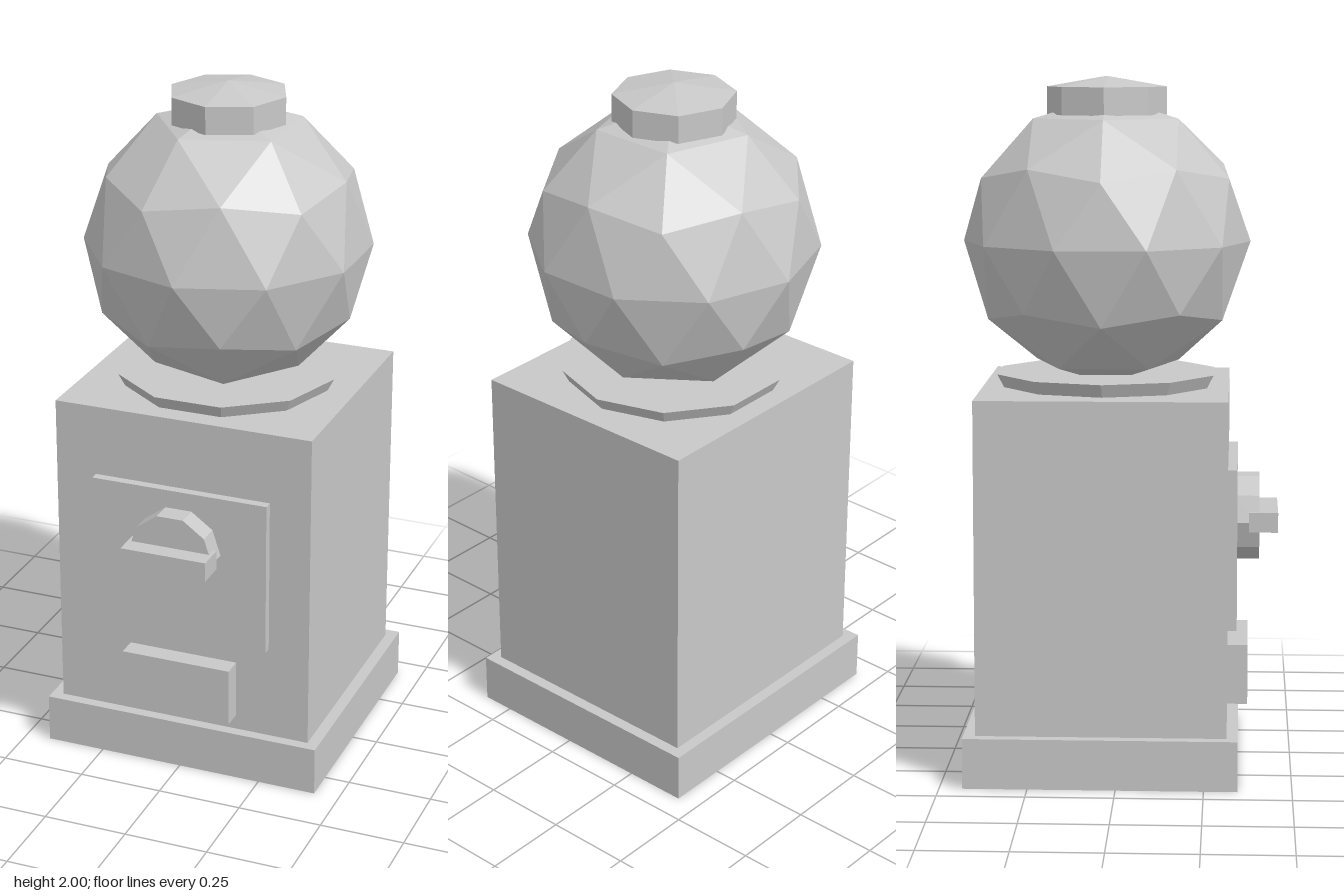
import * as THREE from 'three';

export function createModel() {
  const group = new THREE.Group();
  const grey = new THREE.MeshStandardMaterial({ color: 0xc8c8c8 });
  grey.name = 'plain grey';
  grey.flatShading = true;
  const axisZ = -0.043; // centre line of cabinet and globe

  const add = (name, geometry, x, y, z) => {
    const mesh = new THREE.Mesh(geometry, grey);
    mesh.name = name;
    mesh.position.set(x, y, z);
    group.add(mesh);
    return mesh;
  };
  // box from half width, y range and z range
  const box = (name, hw, y0, y1, z0, z1) =>
    add(name, new THREE.BoxGeometry(hw * 2, y1 - y0, z1 - z0), 0, (y0 + y1) / 2, (z0 + z1) / 2);

  // cabinet
  box('base', 0.425, 0, 0.145, -0.434, 0.346);
  box('cabinet', 0.391, 0.145, 1.106, -0.4, 0.314);
  box('frontPanel', 0.268, 0.43, 0.895, 0.31, 0.341);
  box('dispenserFlap', 0.167, 0.19, 0.365, 0.31, 0.373);

  // turning knob with its grip bar
  const knob = new THREE.CylinderGeometry(0.129, 0.129, 0.075, 10);
  knob.rotateY(Math.PI / 2).rotateX(Math.PI / 2);
  add('knob', knob, 0, 0.718, 0.3675);
  box('knobGrip', 0.13, 0.69, 0.748, 0.375, 0.459);

  // flared collar under the globe
  const collar = new THREE.CylinderGeometry(0.329, 0.309, 0.038, 10);
  collar.rotateY(Math.PI / 2);
  add('collar', collar, 0, 1.125, axisZ);

  // faceted globe standing on one of its corners
  const globe = new THREE.IcosahedronGeometry(0.417, 1);
  globe.rotateZ(Math.PI / 2 - Math.atan((1 + Math.sqrt(5)) / 2));
  add('globe', globe, 0, 1.525, axisZ);

  // eight-sided lid with a shallow peak
  add('lid', new THREE.CylinderGeometry(0.173, 0.173, 0.08, 8, 1, true), 0, 1.93, axisZ);
  add('lidTop', new THREE.ConeGeometry(0.173, 0.03, 8, 1, true), 0, 1.985, axisZ);
  const under = new THREE.CircleGeometry(0.173, 8);
  under.rotateX(Math.PI / 2);
  add('lidUnderside', under, 0, 1.89, axisZ);

  return group;
}
